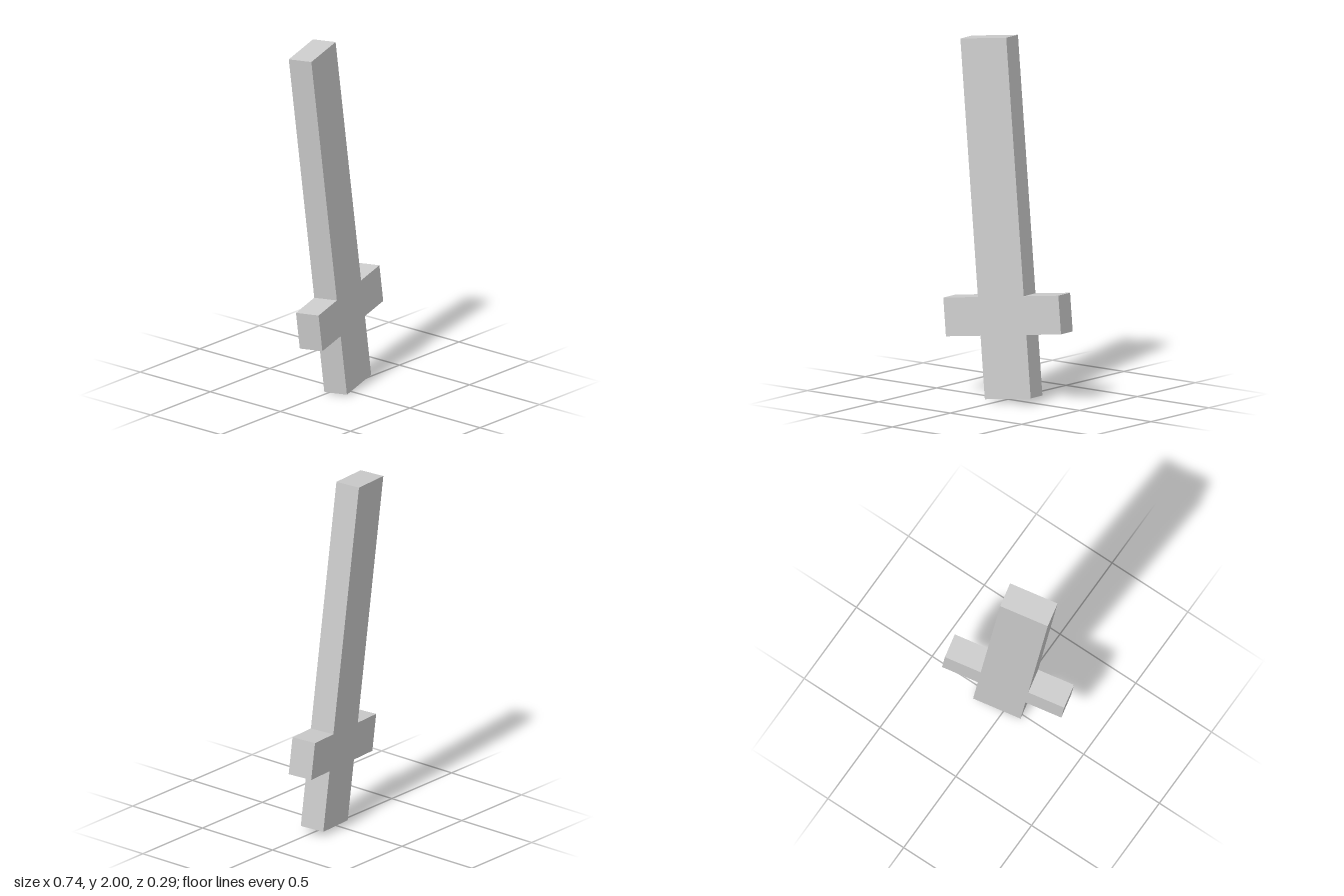
import * as THREE from 'three';

export function createModel() {
  const group = new THREE.Group();
  const material = new THREE.MeshStandardMaterial({ color: 0xcccccc, flatShading: true });

  // Half widths, heights along the blade, thickness
  const blade = 0.1405, guard = 0.3525;
  const guardBottom = 0.348, guardTop = 0.56, length = 1.976, depth = 0.14;

  // Sword outline: right side from the pommel upwards, mirrored for the left
  const right = [
    [blade, 0], [blade, guardBottom], [guard, guardBottom],
    [guard, guardTop], [blade, guardTop], [blade, length],
  ];
  const left = right.map(([x, y]) => [-x, y]).reverse();
  const outline = new THREE.Shape([...right, ...left].map(([x, y]) => new THREE.Vector2(x, y)));

  const geometry = new THREE.ExtrudeGeometry(outline, { depth, bevelEnabled: false });
  geometry.translate(0, 0, -depth / 2);

  const sword = new THREE.Mesh(geometry, material);
  sword.name = 'sword';

  // Leaning and turned pose, from the blade direction and the guard direction
  const up = new THREE.Vector3(-0.113, 0.993, -0.0325).normalize();
  const across = new THREE.Vector3(0.971, 0.105, -0.21);
  const front = across.clone().cross(up).normalize();
  across.crossVectors(up, front);
  sword.setRotationFromMatrix(new THREE.Matrix4().makeBasis(across, up, front));
  sword.position.set(0.05, 0.019, 0.014);

  group.add(sword);
  return group;
}
